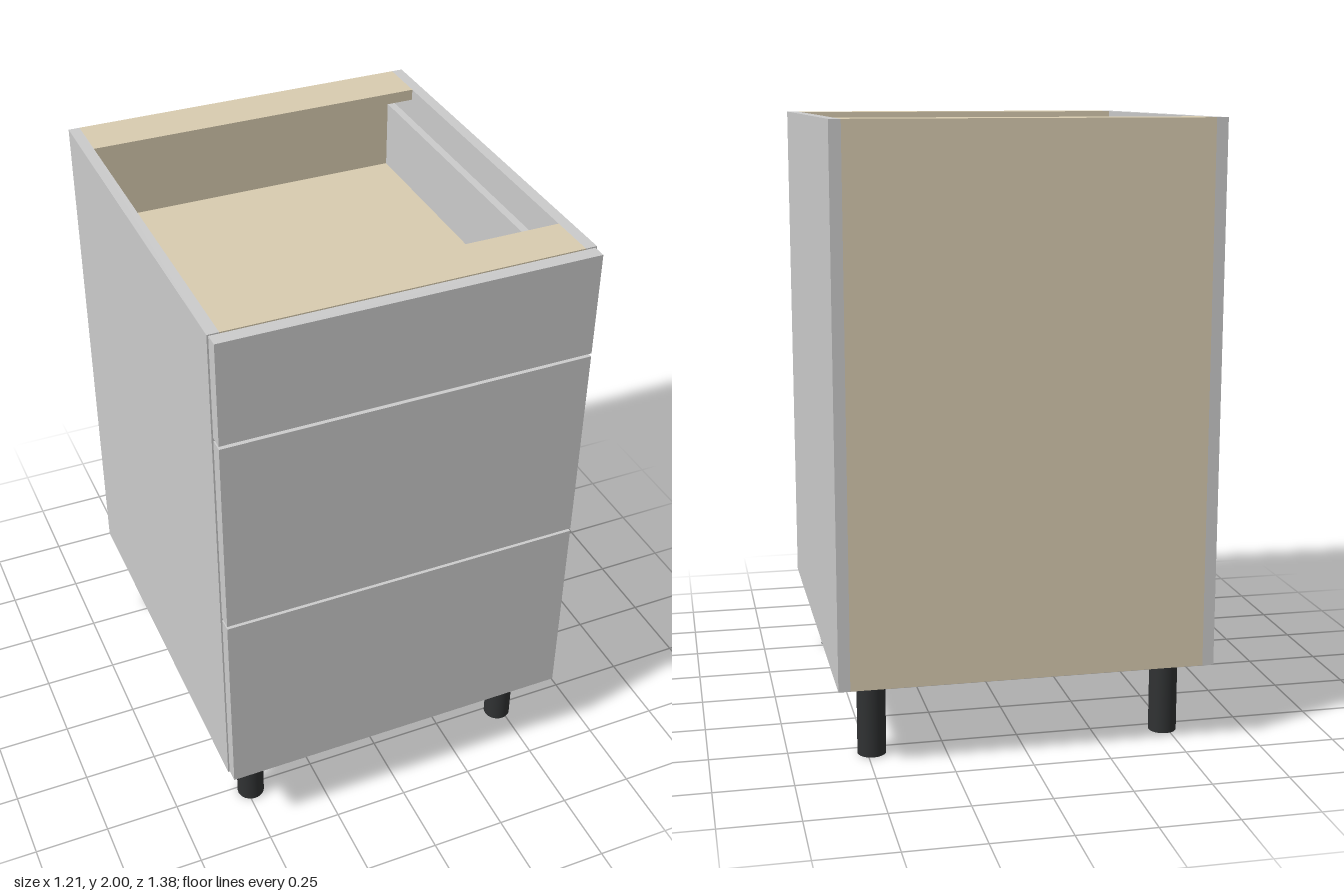
import * as THREE from 'three';

export function createModel() {
  const model = new THREE.Group();
  model.name = 'drawerCabinet';
  const grey = new THREE.MeshStandardMaterial({ color: 0xcccccc });
  const wood = new THREE.MeshStandardMaterial({ color: 0xd9ccb0 });
  const black = new THREE.MeshStandardMaterial({ color: 0x303233 });

  // Box given by its extents on each axis
  function board(parent, name, material, [x0, x1], [y0, y1], [z0, z1]) {
    const mesh = new THREE.Mesh(new THREE.BoxGeometry(x1 - x0, y1 - y0, z1 - z0), material);
    mesh.position.set((x0 + x1) / 2, (y0 + y1) / 2, (z0 + z1) / 2);
    mesh.name = name;
    parent.add(mesh);
  }

  const base = 0.265, top = 2, back = -0.69, front = 0.645;
  const outer = 0.605, inner = 0.568, t = 0.037;
  const span = [-inner, inner];

  // Carcass
  const carcass = new THREE.Group();
  carcass.name = 'carcass';
  model.add(carcass);
  board(carcass, 'leftSide', grey, [inner, outer], [base, top], [back, front]);
  board(carcass, 'rightSide', grey, [-outer, -inner], [base, top], [back, front]);
  board(carcass, 'floor', wood, span, [base, base + t], [back + t, front]);
  board(carcass, 'backPanel', wood, span, [base, top], [back, back + t]);
  board(carcass, 'backRail', wood, span, [top - t, top], [back + t, -0.525]);
  board(carcass, 'frontRail', wood, span, [top - t, top], [0.485, front]);

  // Drawers: [front bottom, front top, tray bottom, tray top]
  const drawers = [
    [0.27, 0.952, 0.32, 0.72],
    [0.963, 1.642, 0.98, 1.4],
    [1.653, 1.996, 1.65, 1.91],
  ];
  drawers.forEach(([f0, f1, b0, b1], i) => {
    const drawer = new THREE.Group();
    drawer.name = `drawer${i + 1}`;
    model.add(drawer);
    const zBack = back + t + 0.005;
    board(drawer, 'drawerFront', grey, [-0.6, 0.6], [f0, f1], [front, 0.69]);
    board(drawer, 'drawerBottom', wood, [-0.525, 0.525], [b0, b0 + 0.03], [zBack, front]);
    board(drawer, 'drawerBack', wood, [-0.525, 0.525], [b0 + 0.03, b1], [zBack, zBack + 0.02]);
    board(drawer, 'drawerLeftSide', grey, [0.525, 0.551], [b0, b1], [zBack, front]);
    board(drawer, 'drawerRightSide', grey, [-0.551, -0.525], [b0, b1], [zBack, front]);
  });

  // Legs
  const legGeometry = new THREE.CylinderGeometry(0.046, 0.046, base, 32);
  for (const x of [-0.485, 0.485]) {
    for (const z of [-0.543, 0.523]) {
      const leg = new THREE.Mesh(legGeometry, black);
      leg.position.set(x, base / 2, z);
      leg.name = `${z > 0 ? 'front' : 'back'}${x > 0 ? 'Left' : 'Right'}Leg`;
      model.add(leg);
    }
  }
  return model;
}
